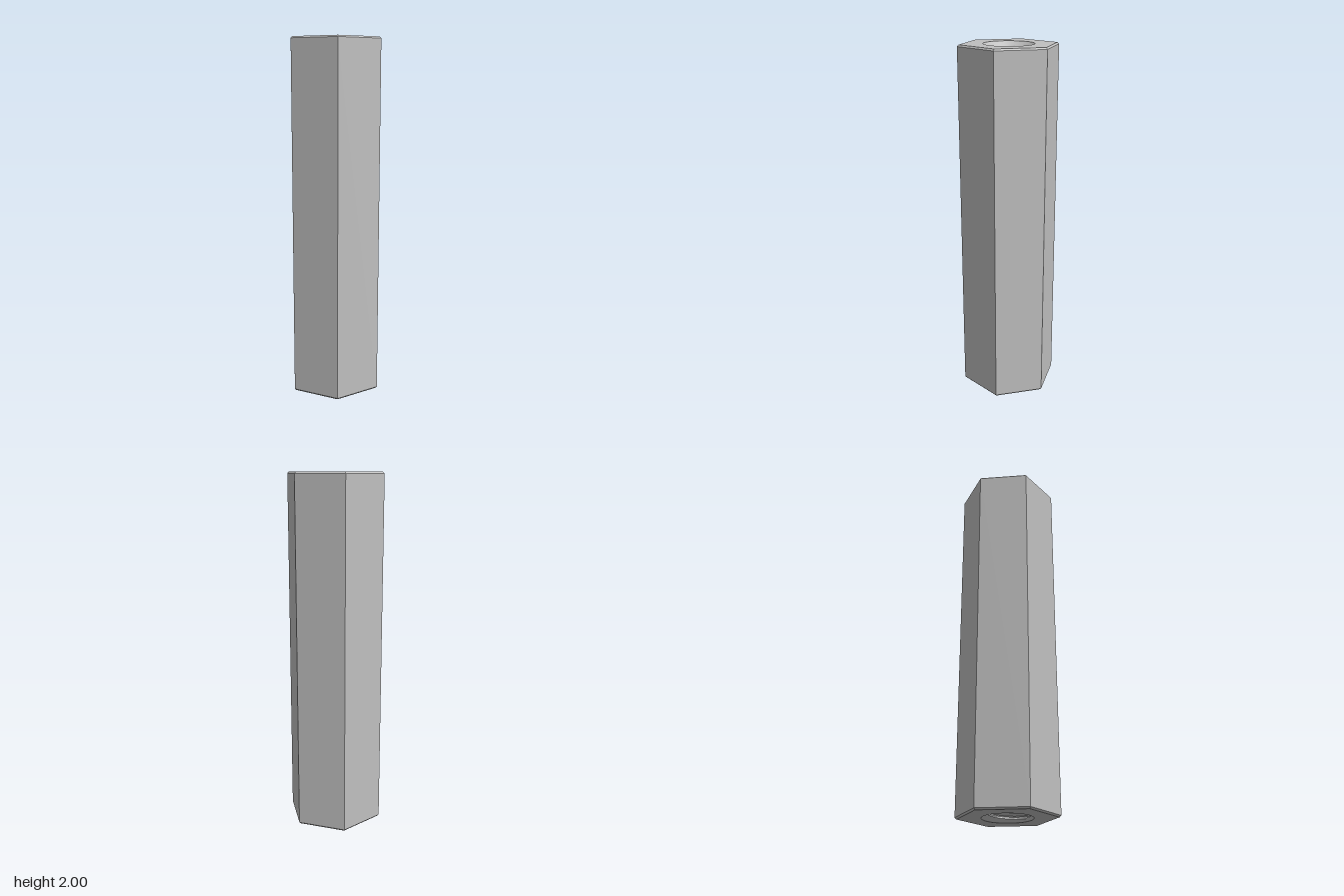
import * as THREE from 'three';
import { toCreasedNormals } from 'three/addons/utils/BufferGeometryUtils.js';

const H = 2, CORNER = 0.277, CHAMFER = 0.009;
const MOUTH = 0.137, MINOR = 0.1, MAJOR = 0.126;
const PITCH = H / 46, SEG = 48, ROWS = 8;

// Internal thread: V groove with flat crest and root, opened by a 45 degree countersink at each end
function threadRadius(phase, y) {
  const t = Math.abs(phase - 0.5) * 2; // 0 at groove root, 1 at crest
  const r = MAJOR - (MAJOR - MINOR) * THREE.MathUtils.clamp((t - 0.2) / 0.55, 0, 1);
  return Math.max(r, MOUTH - Math.min(y, H - y));
}

function threadedBore() {
  const point = (row, i) => {
    const y = THREE.MathUtils.clamp((row / ROWS + i / SEG) * PITCH, 0, H);
    const phase = (((row % ROWS) + ROWS) % ROWS) / ROWS;
    const r = threadRadius(phase, y), a = (i / SEG) * Math.PI * 2;
    return new THREE.Vector3(r * Math.sin(a), y, r * Math.cos(a));
  };
  const verts = [];
  const addTriangle = (a, b, c) => {
    const area = b.clone().sub(a).cross(c.clone().sub(a)).length();
    if (area > 1e-9) for (const p of [a, b, c]) verts.push(p.x, p.y, p.z);
  };
  const lastRow = Math.round(H / PITCH) * ROWS;
  for (let row = -ROWS; row < lastRow; row++) {
    for (let i = 0; i < SEG; i++) {
      const a = point(row, i), b = point(row, i + 1);
      const c = point(row + 1, i + 1), d = point(row + 1, i);
      addTriangle(a, d, b);
      addTriangle(c, b, d);
    }
  }
  const g = new THREE.BufferGeometry();
  g.setAttribute('position', new THREE.Float32BufferAttribute(verts, 3));
  return toCreasedNormals(g, 0.45);
}

// Hexagonal end face with a round opening
function endFace() {
  const shape = new THREE.Shape();
  for (let i = 0; i < 6; i++) {
    const a = (i * Math.PI) / 3, r = CORNER - CHAMFER;
    shape[i ? 'lineTo' : 'moveTo'](r * Math.cos(a), r * Math.sin(a));
  }
  shape.closePath();
  const hole = new THREE.Path();
  hole.absarc(0, 0, MOUTH, 0, Math.PI * 2, true);
  shape.holes.push(hole);
  return new THREE.ShapeGeometry(shape, SEG / 2);
}

export function createModel() {
  const model = new THREE.Group();
  model.name = 'hexStandoff';
  const metal = new THREE.MeshStandardMaterial({ color: 0xc0c0c0 });
  metal.name = 'greyMetal';
  const add = (name, geometry) => {
    const mesh = new THREE.Mesh(geometry, metal);
    mesh.name = name;
    model.add(mesh);
    return mesh;
  };

  // Six flat sides with a small chamfer at both ends
  const profile = [
    [CORNER - CHAMFER, 0], [CORNER, CHAMFER], [CORNER, H - CHAMFER], [CORNER - CHAMFER, H],
  ].map(([x, y]) => new THREE.Vector2(x, y));
  const sides = new THREE.LatheGeometry(profile, 6, Math.PI / 2).toNonIndexed();
  sides.computeVertexNormals();
  add('hexSides', sides);

  // End faces
  const top = add('topFace', endFace());
  top.rotation.x = -Math.PI / 2;
  top.position.y = H;
  add('bottomFace', endFace()).rotation.x = Math.PI / 2;

  // Through hole with thread
  add('threadedBore', threadedBore());
  return model;
}
